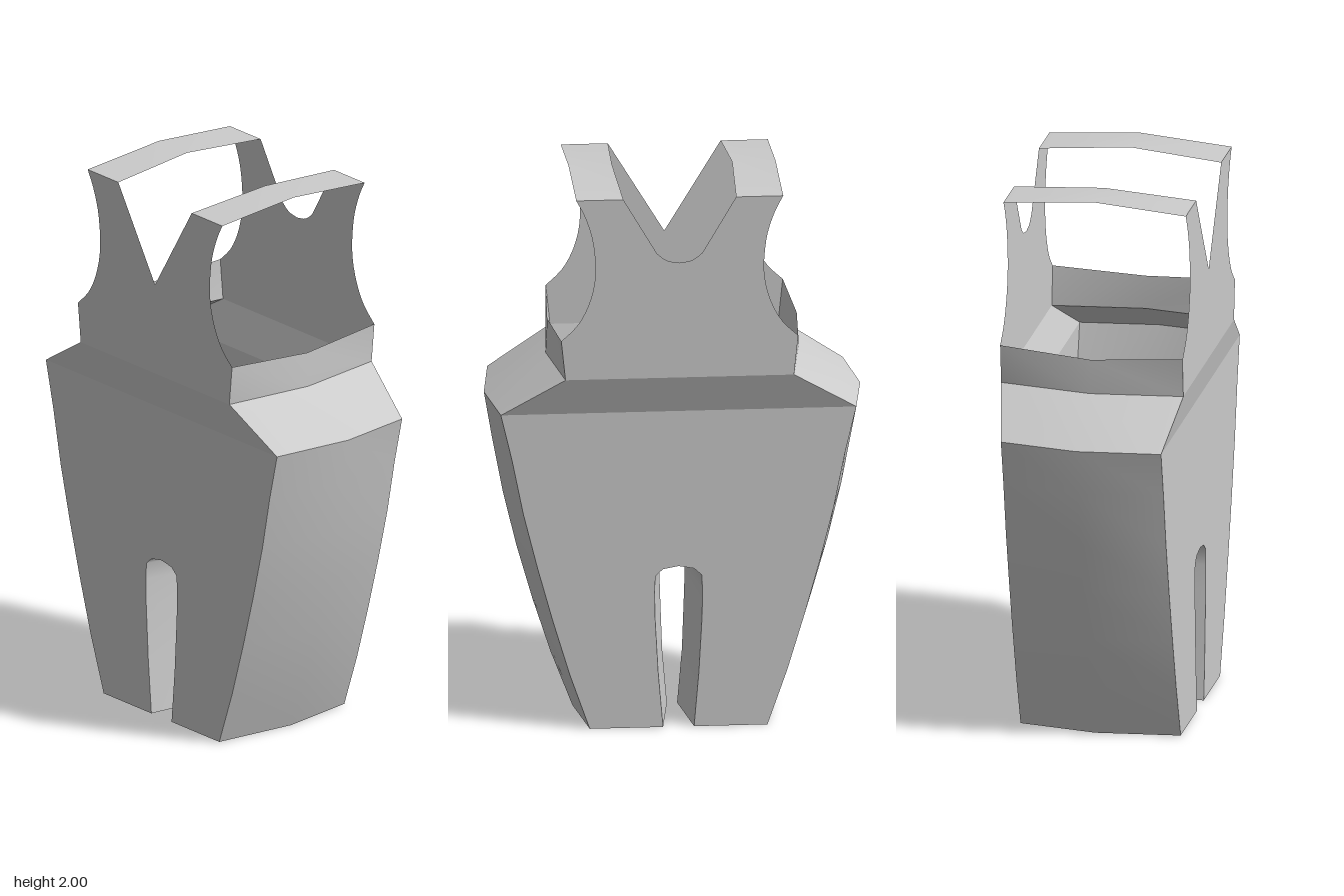
import * as THREE from 'three';

const material = new THREE.MeshStandardMaterial({ color: 0xcccccc, side: THREE.DoubleSide });

// Height, panel-edge x and mid-depth x of the outer leg seam
const OUTER = [
  [0, 0.315, 0.353], [0.2, 0.385, 0.43], [0.4, 0.445, 0.495], [0.6, 0.5, 0.552],
  [0.8, 0.55, 0.6], [1, 0.59, 0.638], [1.17, 0.63, 0.667],
];
// Same for the inner leg, up to the crotch
const INNER = [
  [0, 0.055, 0.018], [0.2, 0.072, 0.035], [0.4, 0.083, 0.042], [0.5, 0.085, 0.045],
  [0.56, 0.082, 0.043], [0.585, 0.055, 0.033], [0.595, 0, 0],
];
const FRONT = 0.3, BACK = -0.28, BIB = 0.33;
const WAIST = 1.17, BIB_BASE = 1.31;

function addMesh(group, name, geometry) {
  const mesh = new THREE.Mesh(geometry, material);
  mesh.name = name;
  group.add(mesh);
}

// Surface through rows of [x, y, z] points, with equal counts per row
function loft(rows) {
  const n = rows[0].length, index = [];
  for (let r = 0; r < rows.length - 1; r++) {
    for (let c = 0; c < n - 1; c++) {
      const a = r * n + c, b = a + n;
      index.push(a, a + 1, b, a + 1, b + 1, b);
    }
  }
  const geometry = new THREE.BufferGeometry();
  geometry.setAttribute('position', new THREE.Float32BufferAttribute(rows.flat(2), 3));
  geometry.setIndex(index);
  geometry.computeVertexNormals();
  return geometry;
}

// Mirror a right-hand outline (bottom centre to top centre) into a full flat panel
function panel(half, z) {
  const points = half.map(([x, y]) => new THREE.Vector2(x, y));
  const mirrored = half.filter(([x]) => x > 0).reverse().map(([x, y]) => new THREE.Vector2(-x, y));
  const geometry = new THREE.ShapeGeometry(new THREE.Shape([...points, ...mirrored]));
  if (z < 0) geometry.rotateY(Math.PI);
  return geometry.translate(0, 0, z);
}

function curvePoints(points, count) {
  const curve = new THREE.SplineCurve(points.map(([x, y]) => new THREE.Vector2(x, y)));
  return curve.getPoints(count).map((p) => [p.x, p.y]);
}

export function createModel() {
  const model = new THREE.Group();
  model.name = 'overalls';

  const armhole = curvePoints([
    [0.42, 1.455], [0.36, 1.515], [0.318, 1.6], [0.299, 1.7],
    [0.308, 1.82], [0.335, 1.91], [0.367, 1.974],
  ], 20);
  const necklines = {
    front: [[0.2, 1.974], [0, 1.645]],
    back: [[0.2, 1.974], ...curvePoints([[0.08, 1.77], [0.045, 1.744], [0, 1.735]], 8)],
  };

  for (const side of ['front', 'back']) {
    const legZ = side === 'front' ? FRONT : BACK;
    const bibZ = side === 'front' ? BIB : -BIB;

    // Flat trouser panel with the slot between the legs
    const legHalf = [
      ...INNER.map(([y, x]) => [x, y]).reverse(),
      ...OUTER.map(([y, x]) => [x, y]),
    ];
    addMesh(model, side + 'TrouserPanel', panel([...legHalf, [0, WAIST]], legZ));

    // Sloping waist band
    const band = [[[-0.63, WAIST, legZ], [0.63, WAIST, legZ]],
      [[-0.405, BIB_BASE, bibZ], [0.405, BIB_BASE, bibZ]]];
    if (side === 'back') band.forEach((row) => row.reverse());
    addMesh(model, side + 'WaistBand', loft(band));

    // Bib with armholes and neckline
    addMesh(model, side + 'Bib', panel(
      [[0, BIB_BASE], [0.405, BIB_BASE], ...armhole, ...necklines[side]], bibZ));
  }

  for (const [name, s] of [['left', 1], ['right', -1]]) {
    // Row across the depth, running so that the surface faces outwards
    const row = (y, edge, mid, front, back, midY = y) => {
      const points = [[s * edge, y, front], [s * mid, midY, 0], [s * edge, y, back]];
      return s > 0 ? points : points.reverse();
    };
    const waist = row(WAIST, 0.63, 0.667, FRONT, BACK);
    const bibBase = row(BIB_BASE, 0.405, 0.448, BIB, -BIB);

    addMesh(model, name + 'OuterLeg',
      loft(OUTER.map(([y, e, m]) => row(y, e, m, FRONT, BACK))));
    addMesh(model, name + 'Hip', loft([waist, bibBase]));
    addMesh(model, name + 'SideBand',
      loft([bibBase, row(1.455, 0.42, 0.442, BIB, -BIB, 1.435)]));
    addMesh(model, name + 'InnerLeg',
      loft(INNER.map(([y, e, m]) => row(y, e, m, FRONT, BACK, y * 0.985).reverse())));

    // Shoulder strap, gently peaked at the middle
    const strap = [[BIB, 1.974, 0.2], [0, 2, 0.213], [-BIB, 1.974, 0.2]].map(([z, y, inner]) => {
      const points = [[s * inner, y, z], [s * 0.367, y, z]];
      return s > 0 ? points : points.reverse();
    });
    addMesh(model, name + 'ShoulderStrap', loft(strap));
  }
  return model;
}
